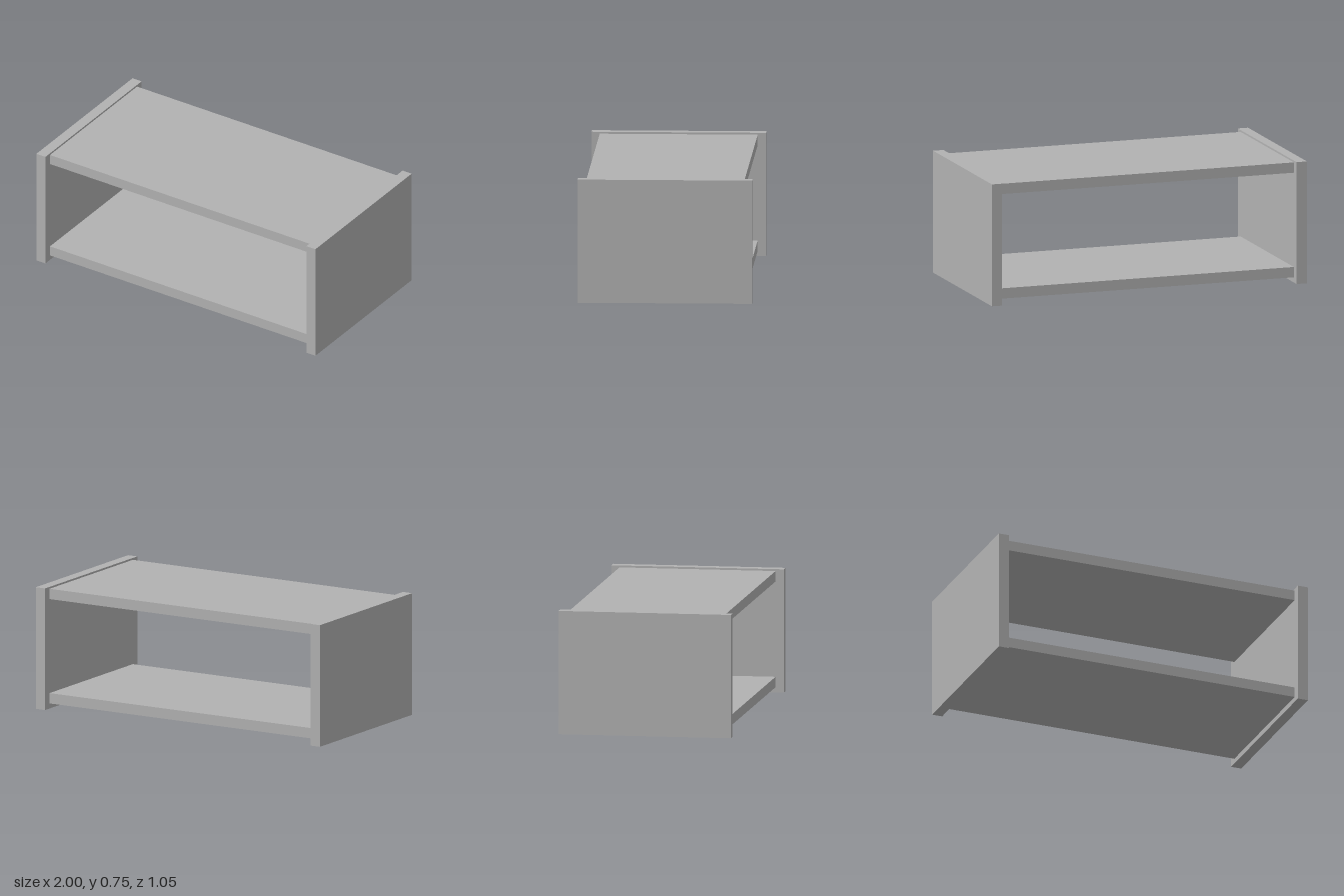
import * as THREE from 'three';

export function createModel() {
  const model = new THREE.Group();
  model.name = 'openShelf';

  const grey = new THREE.MeshStandardMaterial({ color: 0xb2b2b2 });
  grey.name = 'plain grey';

  const height = 0.745, depth = 1.046, board = 0.065;
  const shelfDepth = 0.946, shelfThickness = 0.063;

  function addBoard(name, w, h, d, x, y) {
    const mesh = new THREE.Mesh(new THREE.BoxGeometry(w, h, d), grey);
    mesh.name = name;
    mesh.position.set(x, y, 0);
    model.add(mesh);
  }

  // Upright side panels
  for (const [name, side] of [['leftPanel', 1], ['rightPanel', -1]]) {
    addBoard(name, board, height, depth, side * (1 - board / 2), height / 2);
  }

  // Horizontal boards set in from the panel edges
  for (const [name, y] of [['bottomShelf', 0.063], ['topShelf', 0.702]]) {
    addBoard(name, 2 - 2 * board, shelfThickness, shelfDepth, 0, y);
  }

  return model;
}
